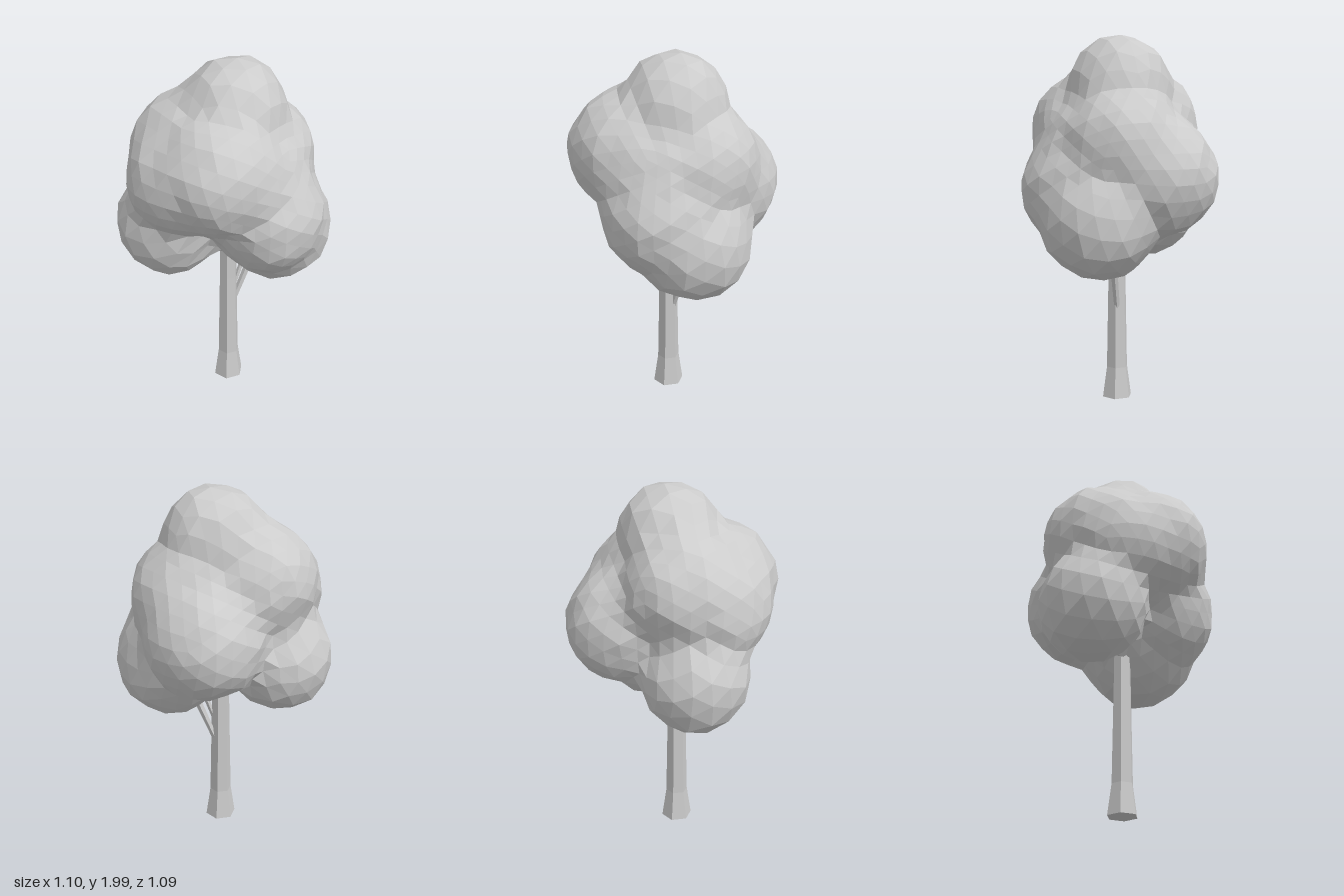
import * as THREE from 'three';

const material = new THREE.MeshStandardMaterial({ color: 0xcccccc, flatShading: true });

// Clumps of leaves as [x, y, z, radius]
const clumps = [
  [0.03, 1.725, 0.0, 0.27],    // top
  [-0.1, 1.5, -0.17, 0.32],    // upper back
  [-0.2, 1.47, 0.08, 0.32],    // upper front
  [-0.25, 1.4, -0.11, 0.295],  // left side
  [0.16, 1.42, 0.04, 0.32],    // upper right
  [0.23, 1.25, -0.14, 0.32],   // right side
  [0.0, 1.36, 0.1, 0.33],      // front middle
  [0.02, 1.18, 0.23, 0.305],   // front
  [0.18, 1.02, 0.17, 0.31],    // lower front
  [-0.2, 1.05, -0.26, 0.29],   // lower back
];

// Softly blended distance to the union of all clumps
function crownDistance(p) {
  const k = 0.025;
  let sum = 0;
  for (const [x, y, z, r] of clumps) {
    sum += Math.exp(-(Math.hypot(p.x - x, p.y - y, p.z - z) - r) / k);
  }
  return -k * Math.log(sum);
}

// Repeatable value in -1..1 for a direction, equal for shared corners
function jitter(v) {
  const q = (n) => Math.round(n * 1000) / 1000;
  const s = Math.sin(q(v.x) * 12.99 + q(v.y) * 78.23 + q(v.z) * 37.72) * 437.58;
  return (s - Math.floor(s)) * 2 - 1;
}

// Faceted shell of leaves: each corner slides inward until it meets the clumps
function makeCrown() {
  const geometry = new THREE.IcosahedronGeometry(1, 6);
  const centre = new THREE.Vector3(0, 1.32, 0);
  const pos = geometry.attributes.position;
  const dir = new THREE.Vector3();
  const point = new THREE.Vector3();
  for (let i = 0; i < pos.count; i++) {
    dir.fromBufferAttribute(pos, i).normalize();
    let reach = 1;
    for (let step = 0; step < 60; step++) {
      point.copy(centre).addScaledVector(dir, reach);
      reach -= crownDistance(point) * 0.9;
    }
    point.copy(centre).addScaledVector(dir, reach + 0.008 * jitter(dir));
    pos.setXYZ(i, point.x, point.y, point.z);
  }
  geometry.computeVertexNormals();
  const crown = new THREE.Mesh(geometry, material);
  crown.name = 'crown';
  return crown;
}

// Tapered straight limb between two points
function limb(name, from, to, r0, r1) {
  const a = new THREE.Vector3(...from);
  const b = new THREE.Vector3(...to);
  const dir = b.clone().sub(a);
  const mesh = new THREE.Mesh(new THREE.CylinderGeometry(r1, r0, dir.length(), 5), material);
  mesh.name = name;
  mesh.position.copy(a).add(b).multiplyScalar(0.5);
  mesh.quaternion.setFromUnitVectors(new THREE.Vector3(0, 1, 0), dir.normalize());
  return mesh;
}

export function createModel() {
  const tree = new THREE.Group();
  tree.name = 'tree';

  // Six-sided trunk with flared foot
  const profile = [[0, 0], [0.084, 0], [0.06, 0.17], [0.05, 0.7], [0.045, 1.0], [0, 1.0]];
  const trunk = new THREE.Mesh(
    new THREE.LatheGeometry(profile.map(([r, y]) => new THREE.Vector2(r, y)), 6), material);
  trunk.name = 'trunk';
  trunk.position.set(-0.01, 0, -0.005);
  tree.add(trunk);

  // Branches rising into the lower clump
  tree.add(limb('lowerBranch', [0.018, 0.5, 0.005], [0.15, 0.9, 0.09], 0.016, 0.022));
  tree.add(limb('upperBranch', [0.0, 0.58, 0.01], [0.1, 0.9, 0.06], 0.012, 0.016));

  tree.add(makeCrown());
  return tree;
}
